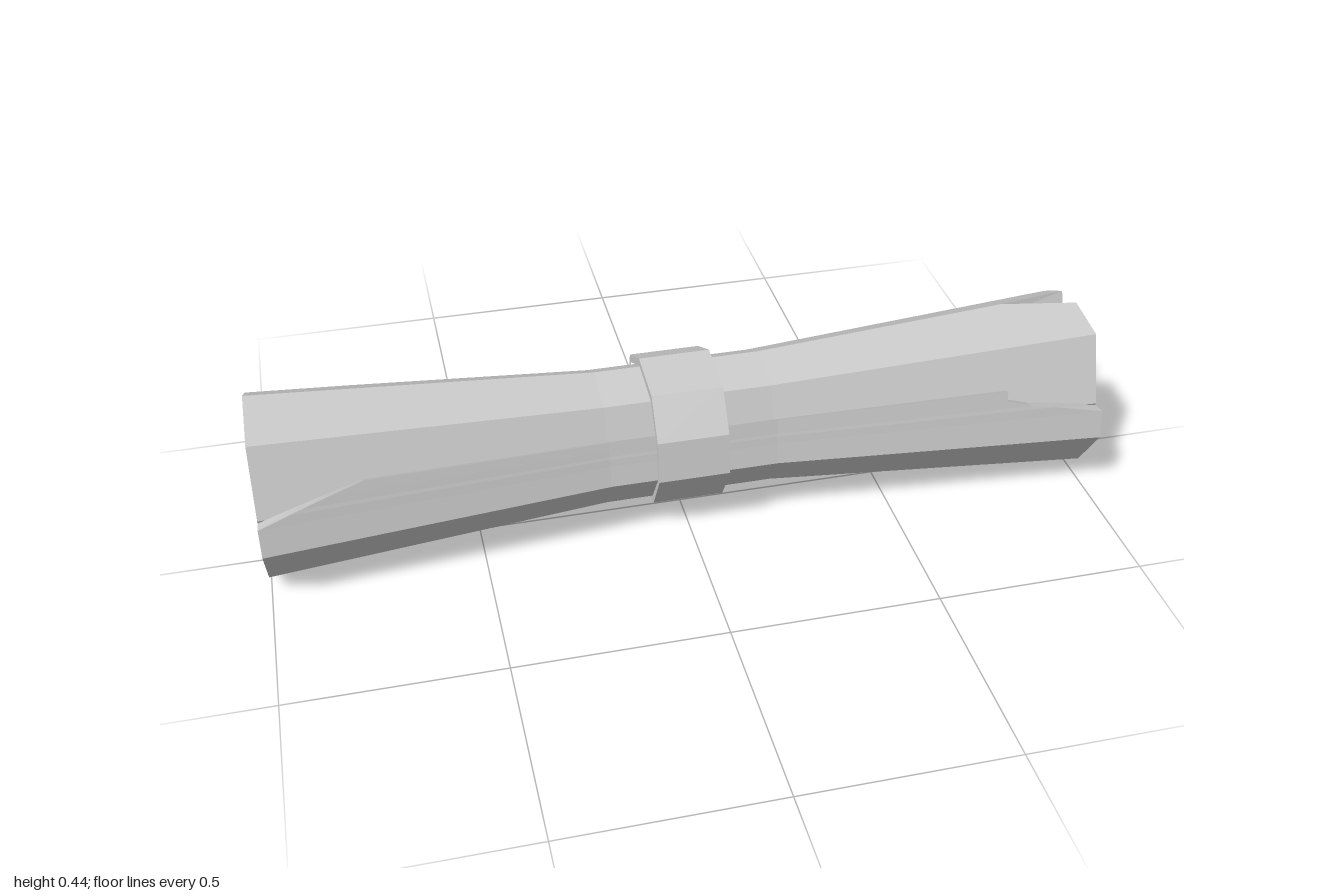
import * as THREE from 'three';

const CENTRE_Y = 0.22;
const THICKNESS = 0.033;
const WAIST = 0.2; // half length of the straight middle

// Rolled sheet, from the free edge inwards: [z, y from the axis, reach to +x, reach to -x].
// A reach below 1 makes a tear or a missing corner.
const SPIRAL = [
  [0.197, 0.113, 0.76, 0.76],
  [0.201, 0.086, 0.76, 0.84],
  [0.204, 0.065, 0.82, 0.9],
  [0.206, 0.055, 0.88, 0.93],
  [0.209, 0.03],
  [0.22, -0.04], [0.135, -0.165], [0, -0.22],
  [-0.1, -0.173], [-0.155, -0.152, 0.88], [-0.175, -0.09],
  [-0.217, 0], [-0.185, 0.116], [-0.175, 0.145, 1, 0.76], [-0.14, 0.166],
  [-0.08, 0.2], [-0.045, 0.22, 0.82], [0, 0.213],
  [0.12, 0.195], [0.175, 0.03],
  // second turn
  [0.108, -0.13], [0.07, -0.157], [-0.065, -0.157], [-0.172, 0.01],
  [-0.135, 0.115], [0, 0.177], [0.09, 0.165], [0.137, 0.03],
  // inner turn
  [0.08, -0.095], [0, -0.123], [-0.055, -0.118], [-0.135, 0.01],
  [-0.1, 0.085], [0, 0.142], [0.05, 0.135],
];

// Band outline as [z, y]
const BAND = [
  [0.178, 0.2], [0.163, 0.3], [0.1, 0.392], [-0.035, 0.41], [-0.145, 0.352],
  [-0.177, 0.225], [-0.128, 0.1], [0, 0.045], [0.11, 0.09],
];

// Places a cross-section point along x; the roll flares towards both ends
function place(x, z, y) {
  const t = Math.max(0, Math.abs(x) - WAIST) / (1 - WAIST);
  const s = 0.74 + 0.26 * t;
  return [x, CENTRE_Y + 0.006 * (1 - t) + y * s, z * s];
}

function sheetGeometry() {
  // Closed loop at each station: outer face along +x, inner face back along -x
  const rings = SPIRAL.map(([z, y, right = 1, left = 1]) => {
    const xs = [-left, -WAIST, WAIST, right];
    const k = 1 - THICKNESS / Math.hypot(z, y);
    return [
      ...xs.map((x) => place(x, z, y)),
      ...xs.reverse().map((x) => place(x, z * k, y * k)),
    ];
  });
  const positions = [];
  const quad = (a, b, c, d) => positions.push(...a, ...b, ...c, ...a, ...c, ...d);

  for (let i = 0; i < rings.length - 1; i++) {
    const p = rings[i], q = rings[i + 1];
    for (let j = 0; j < 8; j++) {
      const n = (j + 1) % 8;
      quad(p[j], q[j], q[n], p[n]);
    }
  }
  // Long edges of the sheet
  const first = rings[0], last = rings[rings.length - 1];
  for (let j = 0; j < 3; j++) {
    quad(first[j], first[j + 1], first[6 - j], first[7 - j]);
    quad(last[7 - j], last[6 - j], last[j + 1], last[j]);
  }
  const geometry = new THREE.BufferGeometry();
  geometry.setAttribute('position', new THREE.Float32BufferAttribute(positions, 3));
  geometry.computeVertexNormals();
  return geometry;
}

function bandGeometry() {
  const outline = (k) => BAND.map(([z, y]) =>
    new THREE.Vector2(-z * k, CENTRE_Y + (y - CENTRE_Y) * k));
  const shape = new THREE.Shape(outline(1));
  shape.holes.push(new THREE.Path(outline(0.9)));
  return new THREE.ExtrudeGeometry(shape, { depth: 0.17, bevelEnabled: false })
    .rotateY(Math.PI / 2)
    .translate(-0.09, 0, 0);
}

export function createModel() {
  const material = new THREE.MeshStandardMaterial({ color: 0xcccccc, flatShading: true });
  const group = new THREE.Group();
  group.name = 'scroll';

  const sheet = new THREE.Mesh(sheetGeometry(), material);
  sheet.name = 'rolledSheet';
  const band = new THREE.Mesh(bandGeometry(), material);
  band.name = 'band';

  group.add(sheet, band);
  return group;
}
